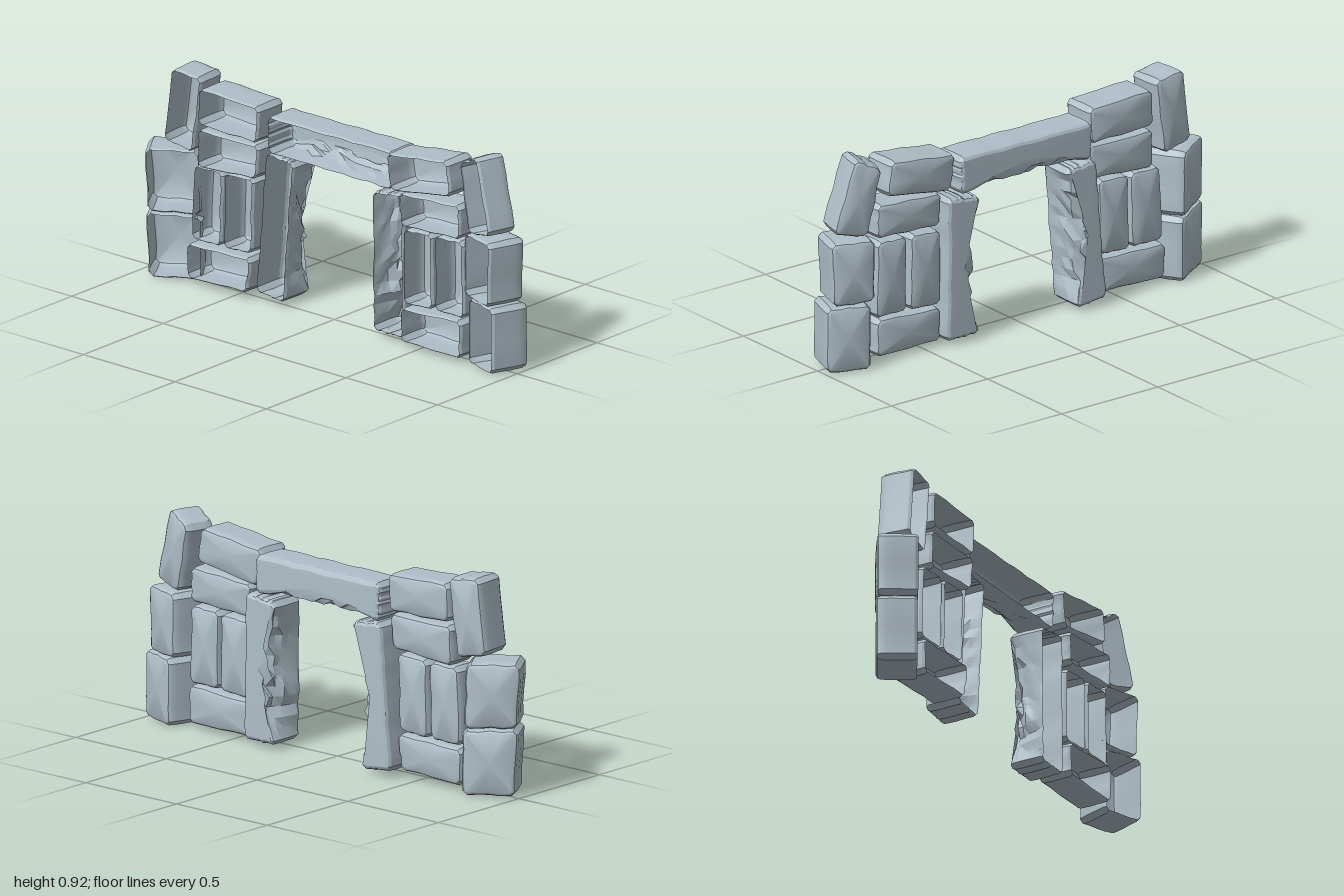
import * as THREE from 'three';
import { toCreasedNormals } from 'three/addons/utils/BufferGeometryUtils.js';

const stone = new THREE.MeshStandardMaterial({ color: 0xafbfc8, side: THREE.DoubleSide });
stone.name = 'pale stone';

// small seeded random, -1..1
let seed = 7;
const rand = () => {
  seed = (seed * 16807) % 2147483647;
  return (seed / 2147483647) * 2 - 1;
};

// Worn stone block, hollow and open toward -x.
// corners: four [z, y] points, counter-clockwise as seen from +x.
// chip: { side, depth } roughly hews one of the four sides.
function block(name, corners, x0, x1, { yaw = 0, chip = null } = {}) {
  const n = chip ? 14 : 5, r = 0.02;
  const cz = corners.reduce((s, c) => s + c[0], 0) / 4;
  const cy = corners.reduce((s, c) => s + c[1], 0) / 4;
  const cx = (x0 + x1) / 2, h = (x1 - x0) / 2;

  // outline with cut corners and a slight wobble
  const outline = [];
  corners.forEach((a, i) => {
    const b = corners[(i + 1) % 4];
    const du = a[0] - b[0], dv = b[1] - a[1], len = Math.hypot(du, dv);
    for (let j = 0; j < n; j++) {
      const t = j / (n - 1), s = (r + t * (len - 2 * r)) / len;
      const wob = j > 0 && j < n - 1 ? rand() * 0.004 : 0;
      const hewn = chip && chip.side === i ? Math.min(1, 5 * t, 5 * (1 - t)) * chip.depth : 0;
      outline.push({
        z: a[0] + (b[0] - a[0]) * s - cz, y: a[1] + dv * s - cy,
        nz: dv / len, ny: du / len, wob, hewn,
      });
    }
  });

  // rings from the open back to the bevelled face: [x, inset, hewing]
  const rings = [[-h, 0.007, 0], [-h + 0.012, 0, 0.1], [-h * 0.4, 0, 0.25], [h * 0.1, -0.002, 0.45],
    [h * 0.5, -0.001, 0.65], [h - 0.018, 0, 0.85], [h - 0.006, 0.006, 0.95], [h, 0.017, 1]];
  const pos = [], idx = [], m = outline.length;
  rings.forEach(([x, inset, hew], k) => {
    for (const p of outline) {
      const cut = p.hewn * hew * (1 + 0.5 * rand());
      const d = inset + p.wob + cut;
      const dx = p.hewn && k > 1 && k < 5 ? rand() * 0.008 : 0;
      pos.push(x + dx, p.y + p.ny * d, p.z + p.nz * d);
    }
  });
  for (let k = 0; k < rings.length - 1; k++) {
    for (let j = 0; j < m; j++) {
      const a = k * m + j, b = k * m + (j + 1) % m;
      idx.push(a, b, b + m, a, b + m, a + m);
    }
  }
  // face cap
  const centre = pos.length / 3, last = (rings.length - 1) * m;
  pos.push(h + 0.002, 0, 0);
  for (let j = 0; j < m; j++) idx.push(last + j, last + (j + 1) % m, centre);

  const geo = new THREE.BufferGeometry();
  geo.setAttribute('position', new THREE.Float32BufferAttribute(pos, 3));
  geo.setIndex(idx);
  const mesh = new THREE.Mesh(toCreasedNormals(geo, chip ? 0.3 : 0.5), stone);
  mesh.name = name;
  mesh.position.set(cx, cy, cz);
  mesh.rotation.y = yaw;
  return mesh;
}

export function createModel() {
  const wall = new THREE.Group();
  wall.name = 'stone wall with doorway';
  const add = (...args) => wall.add(block(...args));

  // doorway: lintel and jambs with hewn inner sides
  add('lintel', [[0.345, 0.655], [-0.335, 0.655], [-0.34, 0.82], [0.35, 0.82]], -0.035, 0.125,
    { chip: { side: 0, depth: 0.03 } });
  add('leftJamb', [[0.415, 0.02], [0.245, 0.02], [0.24, 0.63], [0.41, 0.65]], -0.04, 0.12,
    { chip: { side: 1, depth: 0.06 } });
  add('rightJamb', [[-0.25, 0.015], [-0.405, 0.03], [-0.35, 0.655], [-0.195, 0.64]], -0.03, 0.137,
    { chip: { side: 3, depth: 0.055 } });

  // infill stones of the +z half
  add('leftBottomSlab', [[0.75, 0.02], [0.42, 0.02], [0.42, 0.17], [0.75, 0.185]], -0.07, 0.085);
  add('leftOuterUpright', [[0.75, 0.19], [0.59, 0.19], [0.59, 0.52], [0.745, 0.525]], -0.05, 0.08);
  add('leftInnerUpright', [[0.58, 0.19], [0.42, 0.18], [0.42, 0.51], [0.575, 0.52]], -0.05, 0.085);
  add('leftMiddleSlab', [[0.745, 0.54], [0.42, 0.525], [0.41, 0.67], [0.745, 0.69]], -0.07, 0.08);
  add('leftTopSlab', [[0.70, 0.72], [0.37, 0.67], [0.345, 0.83], [0.68, 0.87]], -0.075, 0.09);

  // infill stones of the -z half
  add('rightBottomSlab', [[-0.42, 0.03], [-0.745, 0.02], [-0.75, 0.175], [-0.40, 0.185]], -0.07, 0.085);
  add('rightInnerUpright', [[-0.41, 0.20], [-0.565, 0.19], [-0.56, 0.52], [-0.40, 0.53]], -0.05, 0.085);
  add('rightOuterUpright', [[-0.58, 0.19], [-0.74, 0.19], [-0.725, 0.52], [-0.57, 0.52]], -0.05, 0.08);
  add('rightMiddleSlab', [[-0.37, 0.54], [-0.69, 0.52], [-0.69, 0.69], [-0.355, 0.69]], -0.07, 0.08);
  add('rightTopSlab', [[-0.36, 0.70], [-0.685, 0.71], [-0.68, 0.87], [-0.35, 0.86]], -0.075, 0.09);

  // turned corner stones at both ends
  add('leftCornerBottom', [[0.98, 0.005], [0.785, 0], [0.785, 0.285], [0.98, 0.29]], -0.07, 0.105, { yaw: -0.33 });
  add('leftCornerMiddle', [[0.95, 0.29], [0.765, 0.295], [0.765, 0.565], [0.96, 0.57]], -0.07, 0.105, { yaw: -0.3 });
  add('leftCornerTop', [[0.94, 0.60], [0.785, 0.57], [0.72, 0.86], [0.845, 0.92]], -0.055, 0.085, { yaw: -0.25 });
  add('rightCornerBottom', [[-0.74, 0], [-0.965, 0.005], [-0.975, 0.29], [-0.74, 0.28]], -0.085, 0.085, { yaw: 0.55 });
  add('rightCornerMiddle', [[-0.745, 0.285], [-0.97, 0.295], [-0.98, 0.57], [-0.755, 0.565]], -0.09, 0.08, { yaw: 0.58 });
  add('rightCornerTop', [[-0.73, 0.57], [-0.88, 0.60], [-0.84, 0.92], [-0.685, 0.905]], -0.065, 0.09, { yaw: 0.08 });

  return wall;
}
